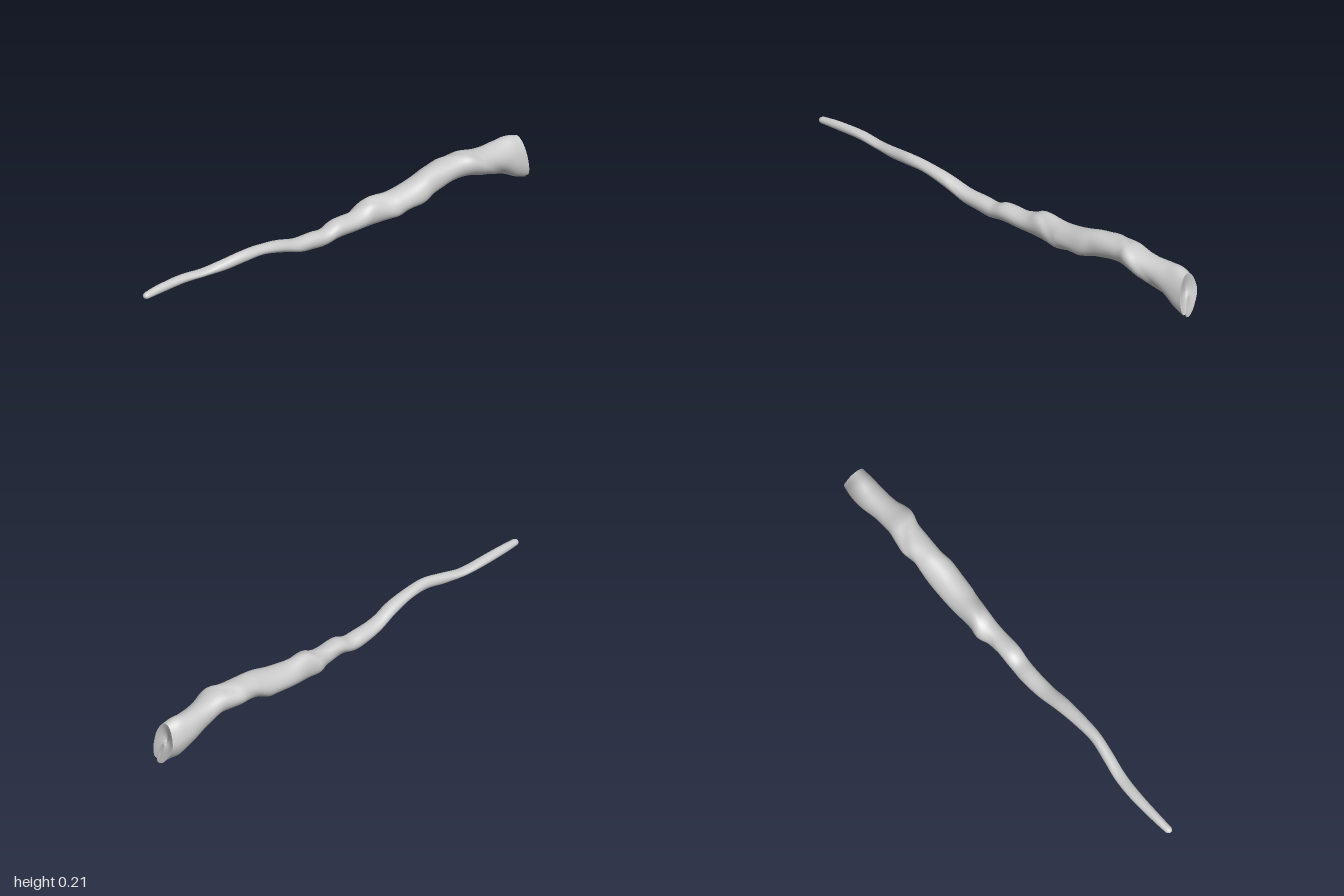
import * as THREE from 'three';

const SIDES = 40;

// Stations along the stick: z, left edge x, right edge x, bottom y, top y
const STATIONS = [
  [-1.0, -0.055, 0.05, 0.0, 0.185], [-0.95, -0.065, 0.051, 0.015, 0.195],
  [-0.88, -0.066, 0.05, 0.045, 0.19], [-0.8, -0.056, 0.052, 0.075, 0.19],
  [-0.75, -0.055, 0.066, 0.09, 0.197], [-0.7, -0.058, 0.066, 0.108, 0.209],
  [-0.65, -0.066, 0.052, 0.11, 0.212], [-0.6, -0.072, 0.05, 0.108, 0.209],
  [-0.55, -0.062, 0.05, 0.1, 0.205], [-0.5, -0.064, 0.052, 0.09, 0.2],
  [-0.45, -0.065, 0.062, 0.075, 0.188], [-0.38, -0.065, 0.06, 0.063, 0.17],
  [-0.3, -0.062, 0.055, 0.055, 0.16], [-0.2, -0.055, 0.042, 0.05, 0.165],
  [-0.15, -0.06, 0.04, 0.051, 0.146], [-0.1, -0.042, 0.04, 0.055, 0.135],
  [0.0, -0.04, 0.042, 0.06, 0.134], [0.05, -0.038, 0.038, 0.052, 0.116],
  [0.1, -0.04, 0.035, 0.05, 0.12], [0.2, -0.034, 0.036, 0.07, 0.126],
  [0.3, -0.022, 0.041, 0.105, 0.155], [0.4, -0.012, 0.042, 0.13, 0.172],
  [0.5, -0.006, 0.041, 0.13, 0.178], [0.6, -0.02, 0.028, 0.12, 0.163],
  [0.68, -0.034, 0.014, 0.12, 0.15], [0.78, -0.04, 0.005, 0.122, 0.156],
  [0.9, -0.033, 0.005, 0.121, 0.157], [1.0, -0.022, 0.008, 0.122, 0.148],
];
const profile = new THREE.CubicInterpolant(
  STATIONS.map((s) => s[0]), STATIONS.flatMap((s) => s.slice(1)), 4);

// Winding strand: a smooth swell that drops off sharply at a spiral seam
function strand(theta, z) {
  const turn = (theta - Math.PI / 2 - 12.6 * (z + 0.68)) / (2 * Math.PI);
  const f = turn - Math.floor(turn);
  const swell = f < 0.86 ? f / 0.86 : (1 - f) / 0.14;
  const s = THREE.MathUtils.smoothstep(swell, 0, 1);
  const fade = 1 - 0.7 * THREE.MathUtils.smoothstep(z, -0.1, 0.4);
  return 1 + fade * (0.17 * s + 0.035 * Math.sin(3 * theta - 9 * z));
}

// One gnarled cross-section, fitted to the edges given by the profile
function ring(z, scale = 1, dz = 0) {
  const [l, r, b, t] = profile.evaluate(z);
  const raw = [];
  for (let j = 0; j < SIDES; j++) {
    const a = (j / SIDES) * Math.PI * 2;
    const k = strand(a, z);
    raw.push([Math.cos(a) * k, Math.sin(a) * k]);
  }
  const xs = raw.map((p) => p[0]), ys = raw.map((p) => p[1]);
  const x0 = Math.min(...xs), x1 = Math.max(...xs), y0 = Math.min(...ys), y1 = Math.max(...ys);
  const heel = 1 - THREE.MathUtils.smoothstep(z, -1, -0.82);
  const cx = (l + r) / 2, cy = (b + t) / 2;
  return raw.map(([px, py]) => {
    const v = (py - y0) / (y1 - y0);
    let x = l + ((px - x0) / (x1 - x0)) * (r - l);
    let y = b + v * (t - b);
    // The heel narrows downwards and leans to the left, with a small notch
    const low = heel * Math.max(0, 0.5 - v) * 2;
    x = x * (1 - 0.15 * low) + 0.016 * low;
    if (x > 0.026) y = Math.max(y, 0.017 * heel);
    // The butt end leans forward at the top
    const lean = 0.022 * heel * v;
    return [cx + (x - cx) * scale, cy + (y - cy) * scale, z + lean + dz];
  });
}

// Skin a list of rings
function loft(name, rings, material) {
  const index = [];
  for (let i = 0; i < rings.length - 1; i++) {
    for (let j = 0; j < SIDES; j++) {
      const a = i * SIDES + j, b = i * SIDES + ((j + 1) % SIDES);
      index.push(a, b, a + SIDES, b, b + SIDES, a + SIDES);
    }
  }
  const geometry = new THREE.BufferGeometry();
  geometry.setAttribute('position', new THREE.Float32BufferAttribute(rings.flat(2), 3));
  geometry.setIndex(index);
  geometry.computeVertexNormals();
  const mesh = new THREE.Mesh(geometry, material);
  mesh.name = name;
  return mesh;
}

export function createModel() {
  const group = new THREE.Group();
  group.name = 'gnarledStick';
  const material = new THREE.MeshStandardMaterial({ color: 0xcccccc });

  // Shaft, ending in a rounded tip
  const shaft = [];
  const steps = 200;
  for (let i = 0; i <= steps; i++) shaft.push(ring(-1 + (1.985 * i) / steps));
  for (const [z, s] of [[0.991, 0.88], [0.996, 0.68], [0.999, 0.4], [1, 0.001]]) shaft.push(ring(z, s));
  group.add(loft('shaft', shaft, material));

  // Slightly dished butt face
  const butt = [[0.001, 0.012], [0.3, 0.011], [0.6, 0.007], [0.85, 0.001], [1, 0]];
  group.add(loft('buttFace', butt.map(([s, dz]) => ring(-1, s, dz)), material));
  return group;
}
